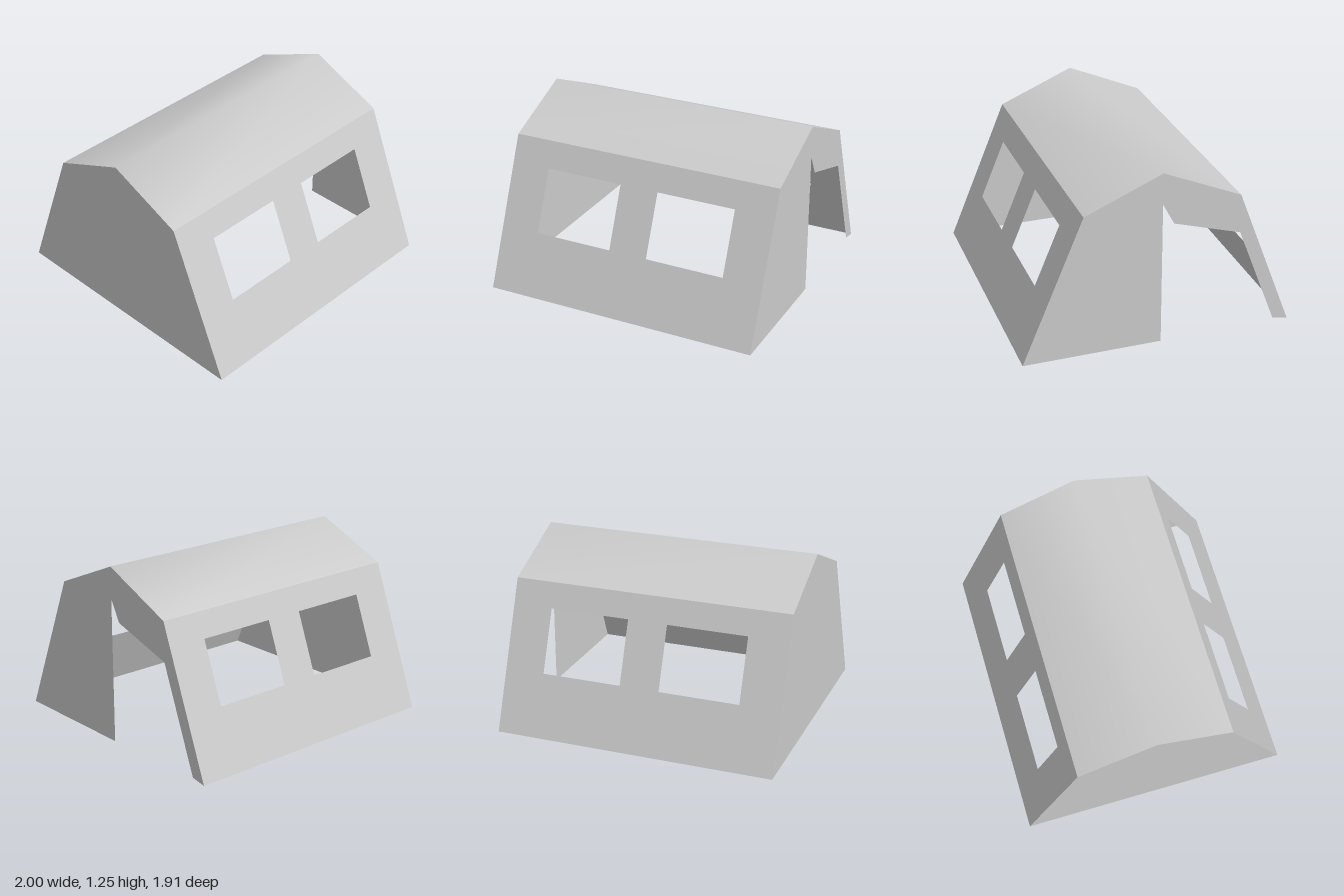
import * as THREE from 'three';

// Tent cross-section as [z, y]
const FRONT_FOOT = [0.955, 0], FRONT_EAVE = [0.525, 1.025], RIDGE = [-0.015, 1.253];
const BACK_EAVE = [-0.565, 1.015], BACK_FOOT = [-0.955, 0];

const material = new THREE.MeshStandardMaterial({ color: 0xcccccc, side: THREE.DoubleSide });

function makeMesh(name, geometry) {
  const mesh = new THREE.Mesh(geometry, material);
  mesh.name = name;
  return mesh;
}

const shapeFrom = (points) => new THREE.Shape(points.map(([a, b]) => new THREE.Vector2(a, b)));

// Leaning long wall with two window openings; facing is +1 (front) or -1 (back)
function longWall(name, foot, eave, facing) {
  const top = eave[1];
  const shape = shapeFrom([[-1, 0], [1, 0], [1, top], [-1, top]]);
  for (const cx of [-0.4275, 0.4275]) {
    const l = cx - 0.286, r = cx + 0.286;
    shape.holes.push(shapeFrom([[l, 0.42], [l, 0.845], [r, 0.845], [r, 0.42]]));
  }
  const geometry = new THREE.ShapeGeometry(shape);
  const p = geometry.attributes.position;
  for (let i = 0; i < p.count; i++) {
    const y = p.getY(i);
    p.setXYZ(i, p.getX(i) * facing, y, THREE.MathUtils.lerp(foot[0], eave[0], y / top));
  }
  geometry.computeVertexNormals();
  return makeMesh(name, geometry);
}

// Flat end wall from a [z, y] outline; side is +1 (left) or -1 (right)
function endWall(name, outline, side) {
  const geometry = new THREE.ShapeGeometry(shapeFrom(outline.map(([z, y]) => [-side * z, y])));
  geometry.rotateY(side * Math.PI / 2);
  geometry.translate(side, 0, 0);
  return makeMesh(name, geometry);
}

// Two roof slopes, shaded smoothly across the ridge
function roof() {
  const geometry = new THREE.PlaneGeometry(2, 1, 1, 2);
  const rows = [BACK_EAVE, RIDGE, FRONT_EAVE];
  const p = geometry.attributes.position;
  for (let i = 0; i < p.count; i++) {
    const [z, y] = rows[Math.floor(i / 2)];
    p.setXYZ(i, p.getX(i), y, z);
  }
  geometry.computeVertexNormals();
  return makeMesh('roof', geometry);
}

export function createModel() {
  const tent = new THREE.Group();
  tent.name = 'tent';
  const profile = [FRONT_FOOT, FRONT_EAVE, RIDGE, BACK_EAVE, BACK_FOOT];
  // Doorway edge: a narrow frame on the back half, a straight edge on the front half
  const doorway = [[-0.845, 0.02], [-0.57, 0.735], [-0.095, 0.88], [-0.015, 1.03], [-0.015, 0]];

  tent.add(
    longWall('frontWall', FRONT_FOOT, FRONT_EAVE, 1),
    longWall('backWall', BACK_FOOT, BACK_EAVE, -1),
    roof(),
    endWall('closedEnd', profile, -1),
    endWall('doorEnd', [...profile, ...doorway], 1),
  );
  return tent;
}
